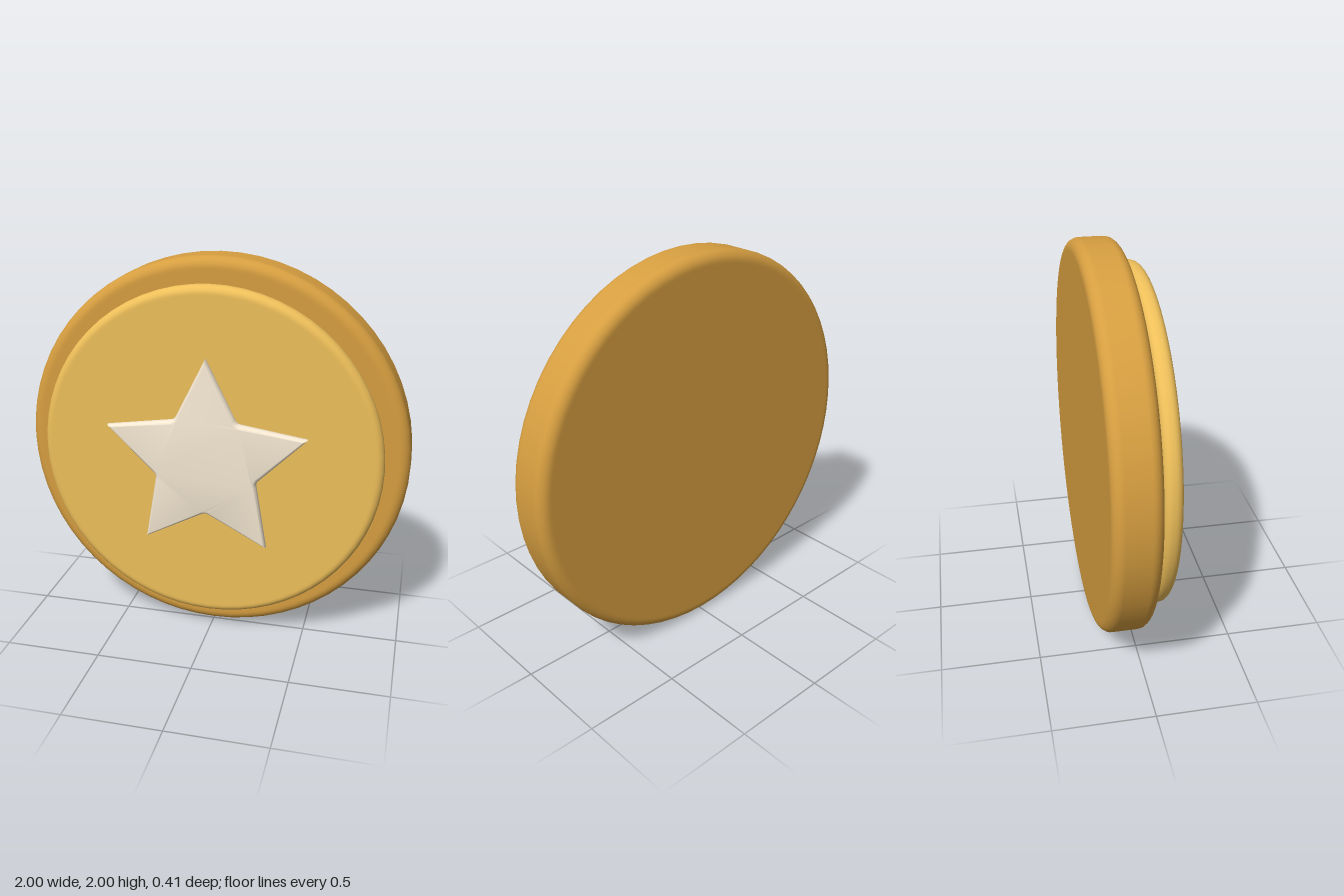
import * as THREE from 'three';
import { toCreasedNormals } from 'three/addons/utils/BufferGeometryUtils.js';

// Solid disc facing +z, spanning back..front, with rounded edges
function roundedDisc(name, radius, back, front, bevel, color) {
  const profile = [new THREE.Vector2(0, back), new THREE.Vector2(radius - bevel - 0.01, back)];
  const steps = 8;
  for (const [z, start] of [[back + bevel, -Math.PI / 2], [front - bevel, 0]]) {
    for (let i = 0; i <= steps; i++) {
      const a = start + (i / steps) * Math.PI / 2;
      profile.push(new THREE.Vector2(radius - bevel + Math.cos(a) * bevel, z + Math.sin(a) * bevel));
    }
  }
  profile.push(new THREE.Vector2(radius - bevel - 0.01, front), new THREE.Vector2(0, front));
  const geometry = new THREE.LatheGeometry(profile, 64);
  geometry.rotateX(Math.PI / 2);
  const mesh = new THREE.Mesh(geometry, new THREE.MeshStandardMaterial({ color }));
  mesh.name = name;
  mesh.position.y = 1;
  return mesh;
}

// Five-pointed star with softened notches and a rounded bevel
function star(name, tipRadius, notchRadius, back, front, color) {
  const polar = (r, k) => new THREE.Vector2(0, r).rotateAround(new THREE.Vector2(), (k * Math.PI) / 5);
  const shape = new THREE.Shape();
  for (let k = 0; k < 10; k += 2) {
    const tip = polar(tipRadius, k);
    const notch = polar(notchRadius, k + 1);
    const next = polar(tipRadius, k + 2);
    const a = notch.clone().lerp(tip, 0.09);
    const b = notch.clone().lerp(next, 0.09);
    if (k === 0) shape.moveTo(tip.x, tip.y);
    else shape.lineTo(tip.x, tip.y);
    shape.lineTo(a.x, a.y);
    shape.quadraticCurveTo(notch.x, notch.y, b.x, b.y);
  }
  shape.closePath();
  const bevel = 0.025;
  const geometry = new THREE.ExtrudeGeometry(shape, {
    depth: front - back - 2 * bevel,
    bevelThickness: bevel,
    bevelSize: 0.02,
    bevelSegments: 6,
    curveSegments: 5,
  });
  geometry.translate(0, 0, back + bevel);
  const mesh = new THREE.Mesh(toCreasedNormals(geometry, 0.6), new THREE.MeshStandardMaterial({ color }));
  mesh.name = name;
  mesh.position.y = 1;
  return mesh;
}

export function createModel() {
  const group = new THREE.Group();
  group.name = 'starCoin';
  group.add(
    roundedDisc('backDisc', 1, -0.205, 0.025, 0.055, 0xd69e40),
    roundedDisc('faceDisc', 0.88, 0.045, 0.135, 0.04, 0xeebf5a),
    star('star', 0.508, 0.247, 0.15, 0.205, 0xf5e8d2),
  );
  return group;
}
